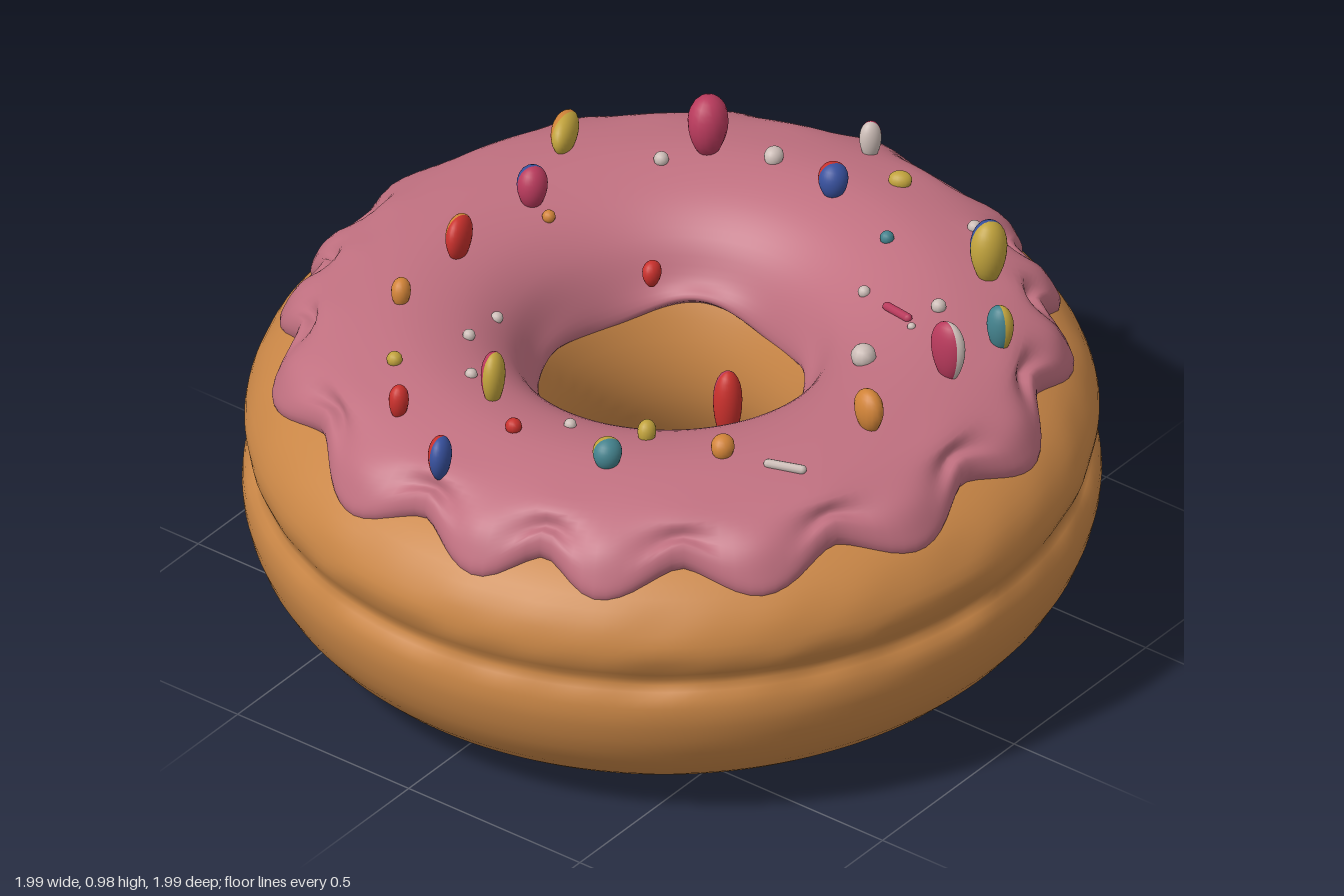
import * as THREE from 'three';

const mat = (name, color) => {
  const m = new THREE.MeshStandardMaterial({ color });
  m.name = name;
  return m;
};
const TILT = 0.025; // the whole ring leans slightly towards -x

// Smooth ring swept around y; profileAt(angle) gives a few [radius, height] points
function ring(name, material, profileAt, closed, nA = 192, nP = 56) {
  const pos = [], idx = [];
  for (let i = 0; i < nA; i++) {
    const a = (i / nA) * Math.PI * 2;
    const pts = profileAt(a).map(([r, y]) => new THREE.Vector3(r, y, 0));
    const curve = new THREE.CatmullRomCurve3(pts, closed, 'centripetal');
    for (let j = 0; j < nP; j++) {
      const p = curve.getPoint(j / (closed ? nP : nP - 1));
      const x = p.x * Math.cos(a);
      pos.push(x, p.y + TILT * x, p.x * Math.sin(a));
    }
  }
  const at = (i, j) => (i % nA) * nP + (j % nP);
  for (let i = 0; i < nA; i++) {
    for (let j = 0; j < (closed ? nP : nP - 1); j++) {
      const p = at(i, j), q = at(i, j + 1), r = at(i + 1, j), s = at(i + 1, j + 1);
      idx.push(p, q, r, q, s, r);
    }
  }
  const g = new THREE.BufferGeometry();
  g.setAttribute('position', new THREE.Float32BufferAttribute(pos, 3));
  g.setIndex(idx);
  g.computeVertexNormals();
  const mesh = new THREE.Mesh(g, material);
  mesh.name = name;
  return mesh;
}

// Dough with an uneven crease around the side
function doughProfile(a) {
  const n = Math.sin(9 * a + 1) * 0.5 + Math.sin(17 * a) * 0.3 + Math.sin(31 * a + 2) * 0.3;
  const c = 0.007 * n;
  return [
    [0.64, 0.017], [0.77, 0.05], [0.88, 0.12], [0.96, 0.22], [0.995, 0.33], [0.99, 0.395],
    [0.967 + c, 0.435 + c], [0.985 + c, 0.48 + c], [0.99, 0.53], [0.965 + c * 0.6, 0.59],
    [0.915, 0.645], [0.83, 0.695], [0.72, 0.74], [0.6, 0.755], [0.46, 0.725], [0.36, 0.64],
    [0.3, 0.52], [0.28, 0.42], [0.29, 0.32], [0.34, 0.2], [0.42, 0.1], [0.52, 0.04],
  ];
}

// Icing: scallops at irregular angles, in degrees from +x towards +z
const LOBES = [-5, 22, 37, 53, 78, 104, 129, 153, 172, 196, 226, 246, 259, 276, 308, 331, 355];
const TOP = [[0.82, 0.78], [0.72, 0.81], [0.6, 0.82], [0.47, 0.79], [0.385, 0.73], [0.335, 0.65]];

function scallop(a) {
  let d = THREE.MathUtils.radToDeg(a);
  if (d >= 355) d -= 360;
  const k = LOBES.findIndex((v, i) => d >= v && d < LOBES[i + 1]);
  const t = (d - LOBES[k]) / (LOBES[k + 1] - LOBES[k]);
  return Math.pow(0.5 + 0.5 * Math.cos(t * Math.PI * 2), 0.8);
}

function icingProfile(a) {
  const w = scallop(a);
  const R = 0.868 + 0.064 * w, yb = 0.665 - 0.06 * w;
  const drip = Math.sin(5 * a + 0.6) * 0.5 + Math.sin(3 * a) * 0.5;
  return [
    [R - 0.07, yb + 0.01], [R - 0.025, yb], [R, yb + 0.035], [R - 0.012, yb + 0.08],
    [R - 0.045, 0.745 - 0.005 * w], ...TOP,
    [0.308 + 0.006 * drip, 0.59 - 0.035 * drip], [0.33, 0.56 - 0.035 * drip],
  ];
}

// Height of the icing at a point
function surface(x, z) {
  const r = Math.hypot(x, z);
  let i = TOP.findIndex((p, k) => k > 0 && r >= p[0]);
  if (i < 0) i = TOP.length - 1;
  const [r0, y0] = TOP[i - 1], [r1, y1] = TOP[i];
  return y0 + ((y1 - y0) * (r - r0)) / (r1 - r0) + TILT * x;
}

// Candy drops: x, z, half length, half width, turn in degrees, top height, colours
const DROPS = [
  [0.54, -0.31, 0.06, 0.055, 0, 0.98, 'pink'],
  [0.36, -0.59, 0.07, 0.035, 20, 0.91, 'yellow', 'orange'],
  [0.145, -0.52, 0.045, 0.042, 0, 0.91, 'pink', 'blue'],
  [-0.12, -0.53, 0.055, 0.032, 10, 0.91, 'red', 'orange'],
  [-0.36, -0.515, 0.032, 0.027, 20, 0.87, 'orange'],
  [-0.7, -0.26, 0.03, 0.027, 0, 0.86, 'red'],
  [-0.81, -0.055, 0.045, 0.032, 20, 0.86, 'blue', 'red'],
  [-0.53, -0.115, 0.045, 0.033, 20, 0.92, 'yellow', 'pink'],
  [-0.59, 0.265, 0.042, 0.04, 0, 0.87, 'teal', 'yellow'],
  [-0.44, 0.265, 0.028, 0.025, 0, 0.84, 'yellow'],
  [-0.405, 0.46, 0.034, 0.032, 0, 0.86, 'orange'],
  [-0.11, 0.66, 0.05, 0.035, 75, 0.91, 'orange'],
  [0.165, 0.68, 0.055, 0.032, 90, 0.96, 'white', 'pink'],
  [0.35, 0.69, 0.04, 0.033, 90, 0.91, 'yellow', 'teal'],
  [0.54, 0.51, 0.055, 0.05, 0, 0.97, 'yellow', 'blue'],
  [0.58, 0.025, 0.042, 0.042, 0, 0.91, 'blue', 'red'],
  [0.595, -0.16, 0.028, 0.025, -20, 0.87, 'white'],
  [0.78, -0.02, 0.032, 0.027, -20, 0.9, 'white', 'pink'],
  [0.705, 0.125, 0.033, 0.025, -60, 0.86, 'yellow'],
  [-0.12, 0.255, 0.042, 0.04, 0, 0.8, 'red', 'pink'],
  [0.19, -0.205, 0.03, 0.025, 0, 0.75, 'red'],
];
// Small beads: x, z, radius
const BEADS = {
  white: [[-0.21, -0.35, 0.015], [-0.355, -0.32, 0.015], [-0.49, -0.21, 0.015], [-0.51, 0.095, 0.015],
    [0.44, -0.37, 0.018], [0.11, 0.475, 0.03], [0.34, 0.3, 0.015], [0.26, 0.5, 0.01],
    [0.35, 0.51, 0.018], [0.675, 0.365, 0.017]],
  yellow: [[-0.56, -0.38, 0.019]],
  red: [[-0.615, 0.01, 0.02]],
  teal: [[0.505, 0.24, 0.017]],
  orange: [[0.13, -0.46, 0.016]],
};
// Thin rods: start x, z, end x, z
const RODS = { white: [-0.375, 0.57, -0.342, 0.643], pink: [0.304, 0.395, 0.282, 0.472] };

// Ball (or half ball) that narrows towards its foot
function dropGeometry(start, length) {
  const g = new THREE.SphereGeometry(1, 16, 14, start, length);
  const p = g.attributes.position;
  for (let i = 0; i < p.count; i++) {
    const k = 0.82 + 0.18 * p.getY(i);
    p.setX(i, p.getX(i) * k);
    p.setZ(i, p.getZ(i) * k);
  }
  return g;
}

export function createModel() {
  const model = new THREE.Group();
  model.name = 'ringCake';
  model.add(ring('dough', mat('dough', 0xc98646), doughProfile, true));
  model.add(ring('icing', mat('icing', 0xc07080), icingProfile, false));

  const candy = {
    red: mat('red', 0xc8302c), pink: mat('pink', 0xb83a5c), yellow: mat('yellow', 0xc0a23c),
    orange: mat('orange', 0xd08338), blue: mat('blue', 0x37509c), teal: mat('teal', 0x43818c),
    white: mat('white', 0xcbbcb6),
  };
  const sprinkles = new THREE.Group();
  sprinkles.name = 'sprinkles';
  model.add(sprinkles);
  const add = (geometry, color, name) => {
    const mesh = new THREE.Mesh(geometry, candy[color]);
    mesh.name = name;
    sprinkles.add(mesh);
    return mesh;
  };

  // Candy drops, two-coloured ones split into halves
  for (const [x, z, l, w, turn, top, ...colors] of DROPS) {
    const inHole = Math.hypot(x, z) < 0.32;
    const foot = inHole ? top - (l > 0.035 ? 0.2 : 0.07) : surface(x, z) - 0.02;
    const arc = (Math.PI * 2) / colors.length;
    colors.forEach((color, i) => {
      const m = add(dropGeometry(i * arc - 0.6, arc), color, 'candyDrop');
      m.position.set(x, (top + foot) / 2, z);
      m.rotation.y = THREE.MathUtils.degToRad(turn);
      m.scale.set(l, (top - foot) / 2, w);
    });
  }

  // Small beads
  for (const [color, list] of Object.entries(BEADS)) {
    for (const [x, z, r] of list) {
      add(new THREE.SphereGeometry(r, 12, 8), color, 'bead').position.set(x, surface(x, z) + r * 0.5, z);
    }
  }

  // Thin rods
  for (const [color, [x0, z0, x1, z1]] of Object.entries(RODS)) {
    const a = new THREE.Vector3(x0, surface(x0, z0) + 0.008, z0);
    const b = new THREE.Vector3(x1, surface(x1, z1) + 0.008, z1);
    const m = add(new THREE.CapsuleGeometry(0.011, a.distanceTo(b), 4, 10), color, 'rod');
    m.position.addVectors(a, b).multiplyScalar(0.5);
    m.quaternion.setFromUnitVectors(new THREE.Vector3(0, 1, 0), b.sub(a).normalize());
  }
  return model;
}
